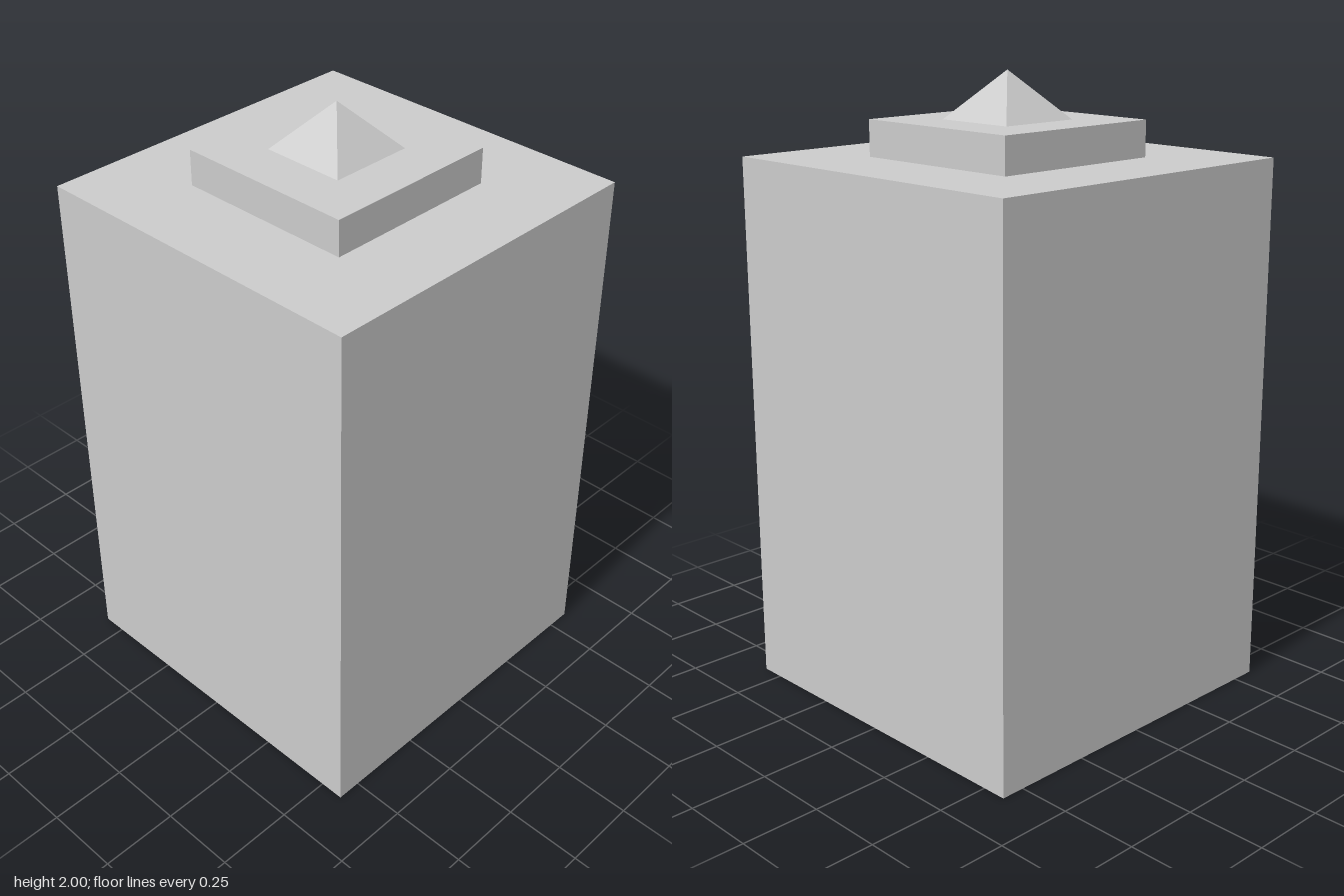
import * as THREE from 'three';

export function createModel() {
  const group = new THREE.Group();
  const material = new THREE.MeshStandardMaterial({ color: 0xcccccc, flatShading: true });

  const add = (name, geometry, y) => {
    const mesh = new THREE.Mesh(geometry, material);
    mesh.name = name;
    mesh.position.y = y;
    group.add(mesh);
    return mesh;
  };
  const square = (half, Type) => new Type([
    new THREE.Vector2(-half, -half), new THREE.Vector2(half, -half),
    new THREE.Vector2(half, half), new THREE.Vector2(-half, half),
  ]);

  const bodyTop = 1.735, plinthTop = 1.85;

  // Tower body: solid core wrapped in a thin square facade
  add('towerCore', new THREE.BoxGeometry(1.14, bodyTop, 1.14), bodyTop / 2);
  const ring = square(0.579, THREE.Shape);
  ring.holes.push(square(0.57, THREE.Path));
  const facade = new THREE.ExtrudeGeometry(ring, { depth: bodyTop, bevelEnabled: false });
  facade.rotateX(-Math.PI / 2);
  add('towerFacade', facade, 0);

  // Raised roof block
  const plinthHeight = plinthTop - bodyTop;
  add('roofBlock', new THREE.BoxGeometry(0.6, plinthHeight, 0.6), bodyTop + plinthHeight / 2);

  // Four-sided peak
  const peakHeight = 2 - plinthTop;
  const peak = new THREE.ConeGeometry(0.14 * Math.SQRT2, peakHeight, 4);
  peak.rotateY(Math.PI / 4);
  add('roofPeak', peak, plinthTop + peakHeight / 2);

  return group;
}
